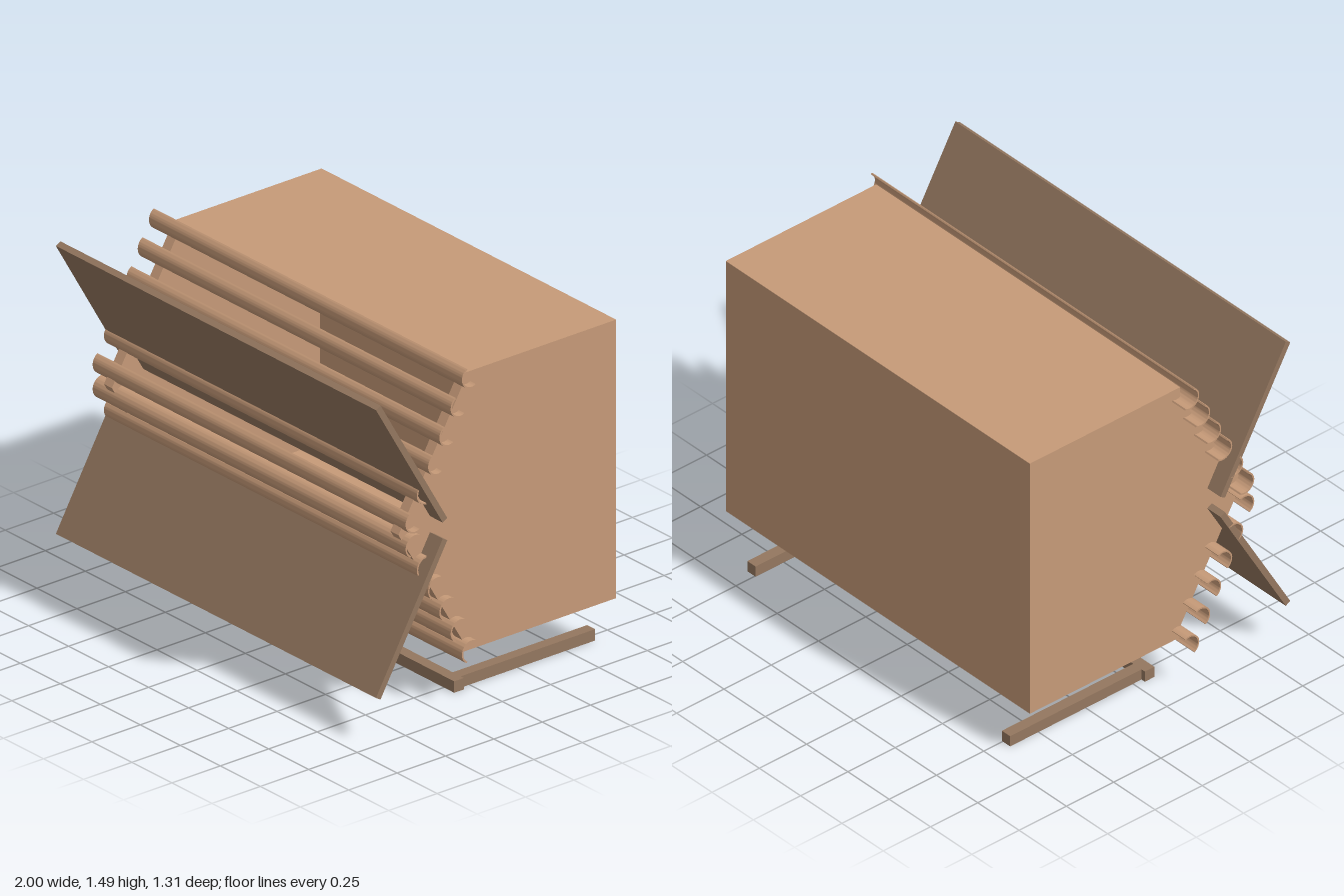
import * as THREE from 'three';
import { toCreasedNormals } from 'three/addons/utils/BufferGeometryUtils.js';

const tan = new THREE.MeshStandardMaterial({ color: 0xc69a78 });
tan.name = 'tanWood';
const brown = new THREE.MeshStandardMaterial({ color: 0x94775f });
brown.name = 'brownWood';

const MID_Y = 0.843; // height of the ridge; the front mirrors about it

export function createModel() {
  const model = new THREE.Group();
  model.name = 'slattedCabinet';

  const add = (name, geometry, material) => {
    const mesh = new THREE.Mesh(geometry, material);
    mesh.name = name;
    model.add(mesh);
    return mesh;
  };

  // Box given by its minimum and maximum corners
  const block = (name, material, [x0, y0, z0], [x1, y1, z1]) => {
    const mesh = add(name, new THREE.BoxGeometry(x1 - x0, y1 - y0, z1 - z0), material);
    mesh.position.set((x0 + x1) / 2, (y0 + y1) / 2, (z0 + z1) / 2);
    return mesh;
  };

  // Profile drawn in (z, y), extruded along x from x0 to x1
  const extrudeX = (shape, x0, x1) =>
    new THREE.ExtrudeGeometry(shape, { depth: x1 - x0, bevelEnabled: false, curveSegments: 16 })
      .rotateY(-Math.PI / 2)
      .translate(x1, 0, 0);

  const rect = (Type, x0, y0, x1, y1) =>
    new Type([[x0, y0], [x1, y0], [x1, y1], [x0, y1]].map(([x, y]) => new THREE.Vector2(x, y)));

  // Hollow case, open at the front
  const wall = 0.05, front = 0.14, back = -0.655;
  const caseShape = rect(THREE.Shape, -0.92, 0.23, 0.92, 1.455);
  caseShape.holes.push(rect(THREE.Path, -0.92 + wall, 0.23 + wall, 0.92 - wall, 1.455 - wall));
  const shell = new THREE.ExtrudeGeometry(caseShape, { depth: front - back, bevelEnabled: false });
  add('caseShell', shell.translate(0, 0, back), tan);
  block('caseBack', tan, [-0.9, 0.25, back], [0.9, 1.435, back + wall]);

  // Triangular end plates that carry the slats
  const triangle = new THREE.Shape([
    new THREE.Vector2(front, MID_Y - 0.56),
    new THREE.Vector2(0.47, MID_Y),
    new THREE.Vector2(front, MID_Y + 0.56),
  ]);
  add('leftEndPlate', extrudeX(triangle, 0.87, 0.92), tan);
  add('rightEndPlate', extrudeX(triangle, -0.92, -0.87), tan);

  for (const side of [1, -1]) {
    const label = side > 0 ? 'upper' : 'lower';

    // Half-round slats stepping along the sloped edge
    const mid = -side * Math.PI / 6;
    const a0 = mid + Math.PI / 2, a1 = mid - Math.PI / 2;
    const arc = new THREE.Shape();
    arc.absarc(0, 0, 0.05, a0, a1, true);
    arc.absarc(0, 0, 0.043, a1, a0, false);
    const slatGeometry = toCreasedNormals(extrudeX(arc, -1, 0.955), 0.6);
    for (let i = 0; i < 6; i++) {
      const slat = add(label + 'Slat' + (i + 1), slatGeometry, tan);
      slat.position.set(0, MID_Y + side * (0.604 - 0.11 * i), 0.121 + 0.0582 * i);
    }

    // Tilted board
    const board = add(label + 'Board', new THREE.BoxGeometry(2, 0.69, 0.027), brown);
    board.position.set(0, MID_Y + side * 0.341, 0.468);
    board.rotation.x = side * Math.PI / 6;
  }

  // Plates under the case
  block('longUnderPlate', brown, [-0.4, 0.206, -0.62], [-0.115, 0.231, -0.03]);
  block('squareUnderPlate', brown, [0.23, 0.206, -0.26], [0.515, 0.231, 0.03]);
  block('smallUnderPlate', brown, [0.265, 0.198, -0.225], [0.48, 0.207, -0.005]);

  // U-shaped floor frame
  block('frameFrontBar', brown, [-0.815, 0, 0.045], [0.815, 0.05, 0.095]);
  block('frameLeftBar', brown, [0.745, 0, -0.65], [0.795, 0.05, 0.045]);
  block('frameRightBar', brown, [-0.795, 0, -0.65], [-0.745, 0.05, 0.045]);

  return model;
}
